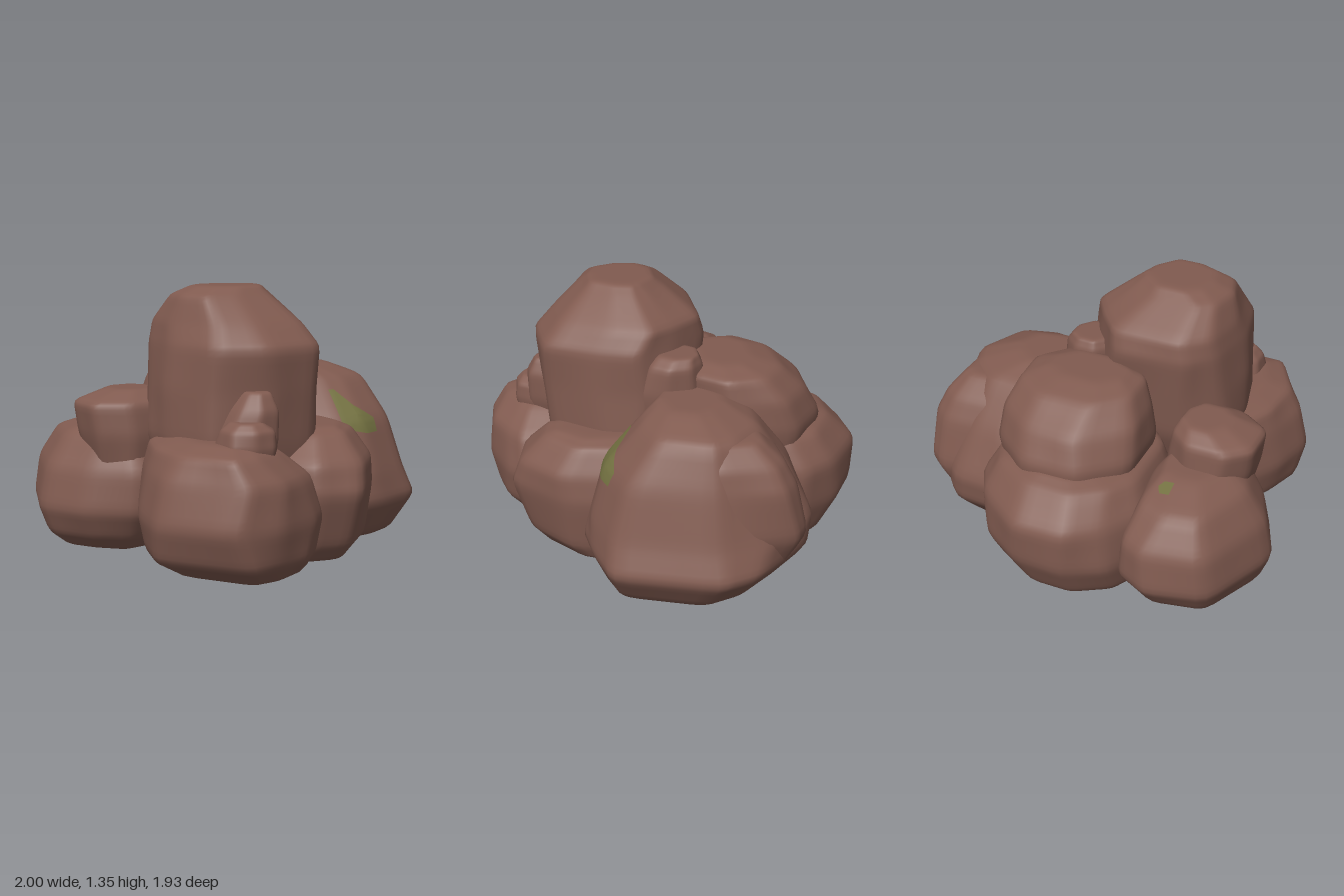
import * as THREE from 'three';

const stone = new THREE.MeshStandardMaterial({ color: 0x815b50 });
stone.name = 'reddish brown stone';
const mossGreen = new THREE.MeshStandardMaterial({ color: 0x737141, side: THREE.DoubleSide });
mossGreen.name = 'moss green';

function seeded(seed) {
  return () => {
    seed = (seed * 16807) % 2147483647;
    return seed / 2147483647;
  };
}

const OCTAGON = [[-0.45, -1], [0.4, -1], [1, -0.5], [1, 0.35], [0.5, 1], [-0.35, 1], [-1, 0.5], [-1, -0.4]];

// Boulder: a plan outline fitted into a box [y, x0, x1, z0, z1] at each level,
// with softened edges between the facets.
function boulder(name, seed, levels, outline = OCTAGON) {
  const random = seeded(seed);
  const box = new THREE.Box2().setFromPoints(outline.map(p => new THREE.Vector2(...p)));
  const mid = box.getCenter(new THREE.Vector2());
  const half = box.getSize(new THREE.Vector2()).multiplyScalar(0.5);
  const plan = outline
    .map(([x, z]) => [(x - mid.x) / half.x, (z - mid.y) / half.y])
    .sort((a, b) => Math.atan2(a[1], a[0]) - Math.atan2(b[1], b[0]));
  const n = plan.length;

  const rings = levels.map(([y, x0, x1, z0, z1]) => plan.map(([px, pz]) => {
    const k = 1.01 + (random() - 0.5) * 0.06;
    const turn = (random() - 0.5) * 0.16;
    const x = (px - pz * turn) * k, z = (pz + px * turn) * k;
    return new THREE.Vector3((x0 + x1) / 2 + x * (x1 - x0) / 2, y, (z0 + z1) / 2 + z * (z1 - z0) / 2);
  }));
  // Flat caps close the top and the bottom
  const cap = ([y, x0, x1, z0, z1]) => plan.map(() => new THREE.Vector3((x0 + x1) / 2, y, (z0 + z1) / 2));
  rings.unshift(cap(levels[0]));
  rings.push(cap(levels[levels.length - 1]));
  const last = rings.length - 1;

  const facet = (u, v) => {
    v = THREE.MathUtils.clamp(v, 0, last);
    u = (u + n) % n;
    const j = Math.min(Math.floor(v), last - 1), i = Math.floor(u) % n, i2 = (i + 1) % n;
    const low = rings[j][i].clone().lerp(rings[j][i2], u - Math.floor(u));
    const high = rings[j + 1][i].clone().lerp(rings[j + 1][i2], u - Math.floor(u));
    return low.lerp(high, v - j);
  };
  const soft = (u, v) => {
    const p = new THREE.Vector3();
    for (const du of [-0.12, 0, 0.12]) for (const dv of [-0.12, 0, 0.12]) p.add(facet(u + du, v + dv));
    return p.divideScalar(9);
  };

  const S = 6, cols = n * S, rows = last * S;
  const positions = [], index = [];
  for (let r = 0; r <= rows; r++) {
    for (let c = 0; c < cols; c++) {
      // The first and last rows meet exactly in a point
      const v = r / S;
      const p = r === 0 || r === rows ? facet(0, v) : soft(c / S, v);
      positions.push(p.x, p.y, p.z);
      if (r === rows) continue;
      const a = r * cols + c, b = r * cols + (c + 1) % cols;
      index.push(a, a + cols, b, b, a + cols, b + cols);
    }
  }
  const geometry = new THREE.BufferGeometry();
  geometry.setAttribute('position', new THREE.Float32BufferAttribute(positions, 3));
  geometry.setIndex(index);
  geometry.computeVertexNormals();
  const mesh = new THREE.Mesh(geometry, stone);
  mesh.name = name;
  return mesh;
}

// Moss: a thin patch draped on a boulder by casting rays at it
function moss(name, rock, corners, toStart, direction) {
  const steps = 6, n = corners.length;
  const mid = corners.reduce((s, p) => [s[0] + p[0] / n, s[1] + p[1] / n], [0, 0]);
  const ray = new THREE.Raycaster();
  const positions = [], index = [];
  rock.updateMatrixWorld();
  for (let s = 0; s <= steps; s++) {
    for (let i = 0; i < n * 4; i++) {
      const a = corners[Math.floor(i / 4)], b = corners[(Math.floor(i / 4) + 1) % n], t = (i % 4) / 4;
      const at = k => mid[k] + (a[k] + (b[k] - a[k]) * t - mid[k]) * s / steps;
      ray.set(toStart(at(0), at(1)), direction);
      const hit = ray.intersectObject(rock)[0];
      const p = hit.point.addScaledVector(direction, -0.006);
      positions.push(p.x, p.y, p.z);
      if (s === steps) continue;
      const q = s * n * 4 + i, e = s * n * 4 + (i + 1) % (n * 4);
      index.push(q, q + n * 4, e, e, q + n * 4, e + n * 4);
    }
  }
  const geometry = new THREE.BufferGeometry();
  geometry.setAttribute('position', new THREE.Float32BufferAttribute(positions, 3));
  geometry.setIndex(index);
  geometry.computeVertexNormals();
  const mesh = new THREE.Mesh(geometry, mossGreen);
  mesh.name = name;
  return mesh;
}

export function createModel() {
  const group = new THREE.Group();
  group.name = 'boulderPile';

  // Ground boulders, overlapping in the middle of the pile
  const large = boulder('largeLeftBoulder', 11, [
    [0, 0.2, 0.86, -0.4, 0.42], [0.2, 0.08, 1.03, -0.58, 0.51], [0.36, 0.06, 0.95, -0.61, 0.47],
    [0.62, 0.12, 0.86, -0.5, 0.4], [0.83, 0.2, 0.78, -0.34, 0.23], [0.9, 0.22, 0.55, -0.18, 0.12],
  ], [[0.4, -0.62], [0.68, -0.61], [0.92, -0.33], [1, -0.08], [0.84, 0.4], [0.58, 0.5], [0.4, 0.5], [0.1, 0.28], [0.1, -0.4]]);
  const backRight = boulder('backRightBoulder', 23, [
    [0, -0.86, -0.36, -0.62, -0.06], [0.08, -0.95, -0.32, -0.74, 0.04], [0.22, -1.01, -0.28, -0.84, 0.11],
    [0.42, -0.96, -0.3, -0.83, 0.1], [0.58, -0.86, -0.38, -0.7, 0.02], [0.65, -0.74, -0.44, -0.48, -0.12],
  ], [[-0.82, -0.79], [-0.56, -0.84], [-0.38, -0.76], [-0.3, -0.4], [-0.4, 0.07], [-0.7, 0.1], [-0.88, -0.08], [-1, -0.35]]);
  group.add(large, backRight);

  // Square back corner of the large boulder
  group.add(boulder('backLeftShoulder', 31, [
    [0.12, 0.35, 0.78, -0.46, 0], [0.35, 0.3, 0.88, -0.54, 0], [0.6, 0.3, 0.86, -0.48, 0],
    [0.72, 0.32, 0.82, -0.42, 0], [0.82, 0.36, 0.74, -0.32, 0],
  ], [[-1, -0.9], [0.65, -1], [1, -0.7], [1, 0.6], [0.6, 1], [-1, 1]]));
  group.add(boulder('backBoulder', 37, [
    [0, -0.33, 0.34, -0.76, -0.1], [0.08, -0.42, 0.41, -0.86, -0.04], [0.26, -0.46, 0.47, -0.95, 0.02],
    [0.48, -0.44, 0.47, -0.95, 0.05], [0.63, -0.36, 0.38, -0.82, 0], [0.67, -0.22, 0.26, -0.72, -0.1],
  ], [[-0.15, -0.95], [0.1, -0.95], [0.35, -0.8], [0.46, -0.58], [0.42, -0.15], [0.2, 0.05], [-0.2, 0.05], [-0.42, -0.2], [-0.44, -0.6], [-0.34, -0.8]]));
  group.add(boulder('frontRightBoulder', 41, [
    [0, -0.66, -0.06, 0, 0.84], [0.1, -0.83, -0.02, -0.04, 0.93], [0.28, -0.88, 0, -0.05, 0.96],
    [0.48, -0.83, -0.08, 0, 0.94], [0.6, -0.76, -0.24, 0.06, 0.86], [0.64, -0.62, -0.34, 0.18, 0.75],
  ], [[-0.64, 0.03], [-0.8, 0.3], [-0.87, 0.6], [-0.63, 0.93], [-0.4, 0.95], [-0.2, 0.88], [-0.06, 0.78], [0, 0.4], [-0.05, 0], [-0.35, -0.05]]));
  group.add(boulder('frontMiddleBoulder', 53, [
    [0, -0.3, 0.41, -0.15, 0.7], [0.1, -0.3, 0.44, -0.14, 0.77], [0.36, -0.28, 0.45, -0.1, 0.87],
    [0.5, -0.26, 0.42, -0.06, 0.83], [0.63, -0.14, 0.35, 0.02, 0.7], [0.66, -0.06, 0.27, 0.1, 0.62],
  ], [[0.43, 0.33], [0.37, 0.63], [0.13, 0.85], [-0.1, 0.79], [-0.28, 0.5], [-0.28, 0.1], [0.05, -0.08], [0.4, 0.05]]));

  // Stacked boulders
  group.add(boulder('middleBoulder', 67, [
    [0.4, -0.28, 0.36, -0.68, -0.1], [0.68, -0.32, 0.4, -0.73, -0.05], [0.84, -0.3, 0.39, -0.66, -0.05],
    [0.96, -0.24, 0.35, -0.52, -0.05], [1, -0.15, 0.22, -0.38, -0.12],
  ]));
  group.add(boulder('tallTopBoulder', 79, [
    [0.35, -0.54, 0.2, 0, 0.6], [0.6, -0.62, 0.24, -0.1, 0.65], [0.85, -0.61, 0.22, -0.14, 0.67],
    [1.06, -0.6, 0.2, -0.15, 0.69], [1.17, -0.57, 0.16, -0.14, 0.59], [1.3, -0.52, 0, 0.03, 0.45],
    [1.345, -0.41, -0.06, 0.09, 0.4],
  ], [[-0.42, -0.16], [-0.02, -0.16], [0.16, 0.02], [0.24, 0.18], [0.18, 0.4], [0, 0.66], [-0.3, 0.68], [-0.54, 0.58], [-0.64, 0.28], [-0.6, 0]]));

  // Small wedged stones
  group.add(boulder('rightWedgeStone', 83, [
    [0.4, -0.78, -0.42, -0.33, 0.05], [0.6, -0.83, -0.4, -0.37, 0.07],
    [0.76, -0.85, -0.42, -0.37, 0.05], [0.82, -0.68, -0.46, -0.28, -0.04],
  ]));
  group.add(boulder('backWedgeStone', 97, [
    [0.6, 0, 0.25, -0.14, 0.2], [0.85, 0, 0.28, -0.14, 0.2], [1, 0, 0.27, -0.12, 0.16], [1.05, 0.04, 0.23, -0.1, 0.1],
  ]));
  group.add(boulder('upperPebble', 101, [
    [0.48, -0.48, -0.27, 0.45, 0.72], [0.64, -0.52, -0.23, 0.42, 0.75],
    [0.78, -0.46, -0.24, 0.44, 0.74], [0.87, -0.4, -0.28, 0.5, 0.7],
  ]));
  group.add(boulder('lowerPebble', 113, [
    [0.48, -0.52, -0.3, 0.55, 0.78], [0.62, -0.56, -0.28, 0.52, 0.81], [0.7, -0.54, -0.3, 0.55, 0.8], [0.74, -0.5, -0.36, 0.6, 0.76],
  ]));

  // Moss patches
  group.add(moss('frontMoss', large,
    [[0.37, 0.78], [0.4, 0.78], [0.47, 0.7], [0.585, 0.63], [0.585, 0.56], [0.5, 0.56], [0.36, 0.59]],
    (x, y) => new THREE.Vector3(x, y, 2), new THREE.Vector3(0, 0, -1)));
  group.add(moss('topMoss', backRight,
    [[-0.55, -0.58], [-0.5, -0.58], [-0.48, -0.54], [-0.5, -0.51], [-0.55, -0.51]],
    (x, z) => new THREE.Vector3(x, 2, z), new THREE.Vector3(0, -1, 0)));

  return group;
}
